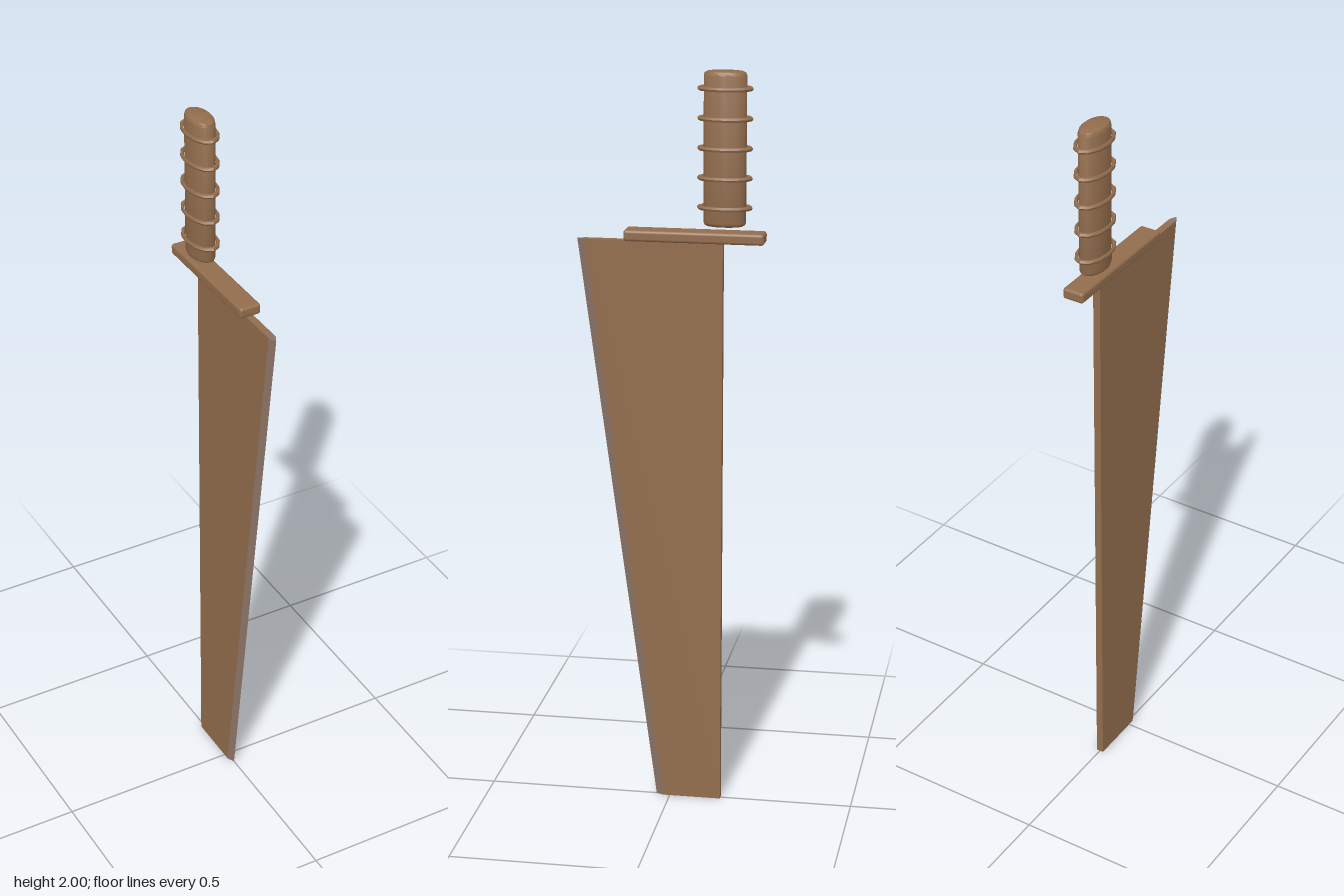
import * as THREE from 'three';
import { RoundedBoxGeometry } from 'three/addons/geometries/RoundedBoxGeometry.js';
import { toCreasedNormals } from 'three/addons/utils/BufferGeometryUtils.js';

const BLADE_TOP = 1.555;
const GRIP_Z = -0.143;

export function createModel() {
  const group = new THREE.Group();
  const wood = new THREE.MeshStandardMaterial({ color: 0x926d4d });
  wood.name = 'brown wood';
  const edge = new THREE.MeshStandardMaterial({ color: 0x8c7466 });
  edge.name = 'greyish edge';

  const add = (name, geometry, material) => {
    const mesh = new THREE.Mesh(geometry, material);
    mesh.name = name;
    group.add(mesh);
    return mesh;
  };

  // Tapered blade, drawn as (z, y) and extruded across x
  const profile = new THREE.Shape([
    new THREE.Vector2(-0.14, 0),
    new THREE.Vector2(0.018, 0),
    new THREE.Vector2(0.227, BLADE_TOP),
    new THREE.Vector2(-0.14, BLADE_TOP),
  ]);
  const blade = new THREE.ExtrudeGeometry(profile, { depth: 0.02, bevelEnabled: false });
  blade.translate(0, 0, -0.01).rotateY(-Math.PI / 2);
  add('blade', blade, wood);

  // Cutting edge: diamond prism sheared along the slanted front
  let cutting = new THREE.CylinderGeometry(1, 1, BLADE_TOP, 4);
  cutting.scale(0.0102, 1, 0.02).translate(0, BLADE_TOP / 2, 0);
  const p = cutting.attributes.position;
  for (let i = 0; i < p.count; i++) {
    p.setZ(i, p.getZ(i) + 0.018 + (0.209 * p.getY(i)) / BLADE_TOP);
  }
  cutting = cutting.toNonIndexed();
  cutting.computeVertexNormals();
  add('cuttingEdge', cutting, edge);

  // Guard
  const guard = new RoundedBoxGeometry(0.06, 0.03, 0.37, 2, 0.008);
  add('guard', guard, wood).position.set(0, 1.57, -0.065);

  // Oval grip with softened ends
  const gripProfile = [
    [0, 1.6], [0.047, 1.6], [0.053, 1.603], [0.056, 1.61],
    [0.056, 1.99], [0.053, 1.997], [0.047, 2], [0, 2],
  ].map(([r, y]) => new THREE.Vector2(r, y));
  const grip = new THREE.LatheGeometry(gripProfile, 24);
  grip.scale(0.57, 1, 1);
  add('grip', toCreasedNormals(grip, 0.7), wood).position.z = GRIP_Z;

  // Ridges around the grip
  for (let i = 0; i < 5; i++) {
    const ring = new THREE.TorusGeometry(0.066, 0.007, 6, 12);
    ring.rotateX(Math.PI / 2).scale(0.575, 0.9, 1);
    add('gripRing' + (i + 1), toCreasedNormals(ring, 0.6), wood)
      .position.set(0, 1.648 + i * 0.077, GRIP_Z);
  }

  return group;
}
